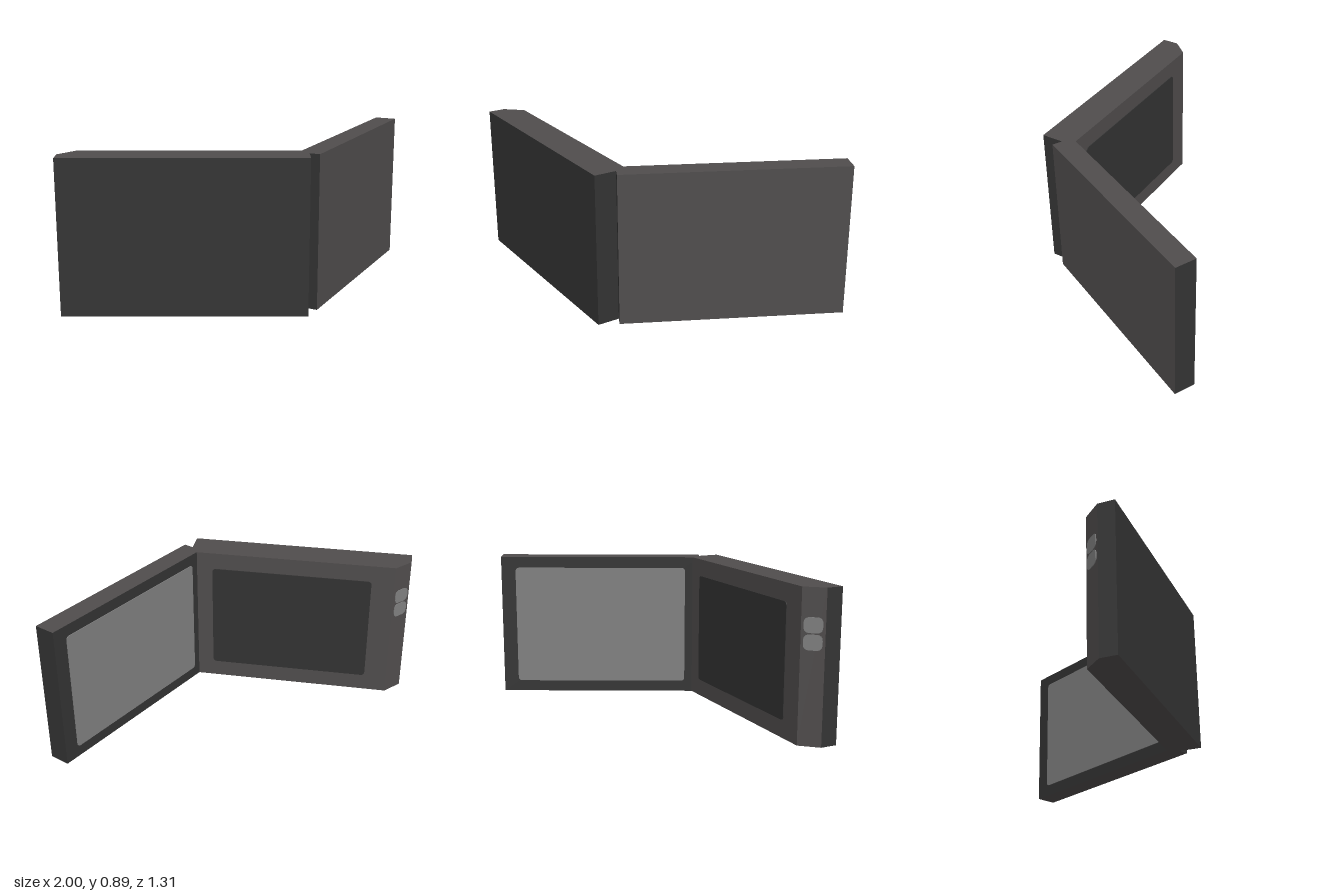
import * as THREE from 'three';

const H = 0.895; // height of both halves

function paint(name, color) {
  const m = new THREE.MeshStandardMaterial({ color });
  m.name = name;
  return m;
}

// Rounded thin plate, lying on the local z = 0 plane
function plate(name, w, h, r, material, x = 0, y = 0) {
  const s = new THREE.Shape();
  const a = w / 2, b = h / 2;
  s.moveTo(-a + r, -b);
  s.lineTo(a - r, -b);
  s.quadraticCurveTo(a, -b, a, -b + r);
  s.lineTo(a, b - r);
  s.quadraticCurveTo(a, b, a - r, b);
  s.lineTo(-a + r, b);
  s.quadraticCurveTo(-a, b, -a, b - r);
  s.lineTo(-a, -b + r);
  s.quadraticCurveTo(-a, -b, -a + r, -b);
  const geo = new THREE.ExtrudeGeometry(s, { depth: 0.004, bevelEnabled: false, curveSegments: 6 });
  const mesh = new THREE.Mesh(geo, material);
  mesh.name = name;
  mesh.position.set(x, y, 0);
  return mesh;
}

// Upright prism over an [x, z] outline; each wall is [name, material].
// Every wall is a group whose local +z points outward.
function prism(name, outline, walls, capMaterial) {
  const group = new THREE.Group();
  group.name = name;
  const sides = {};
  outline.forEach(([ax, az], i) => {
    const [bx, bz] = outline[(i + 1) % outline.length];
    const [wallName, material] = walls[i];
    const side = new THREE.Group();
    side.name = wallName;
    side.position.set((ax + bx) / 2, H / 2, (az + bz) / 2);
    side.rotation.y = Math.atan2(az - bz, bx - ax);
    const face = new THREE.Mesh(new THREE.PlaneGeometry(Math.hypot(bx - ax, bz - az), H), material);
    face.name = wallName + 'Face';
    side.add(face);
    group.add(side);
    sides[wallName] = side;
  });
  // Top and bottom caps
  for (const dir of [1, -1]) {
    const shape = new THREE.Shape(outline.map(([x, z]) => new THREE.Vector2(x, -dir * z)));
    const cap = new THREE.Mesh(new THREE.ShapeGeometry(shape).rotateX(-dir * Math.PI / 2), capMaterial);
    cap.name = dir > 0 ? 'topEdge' : 'bottomEdge';
    cap.position.y = dir > 0 ? H : 0;
    group.add(cap);
  }
  return { group, sides };
}

export function createModel() {
  const dark = paint('charcoal', 0x333333);
  const warm = paint('warm grey', 0x504d4d);
  const light = paint('light grey', 0x808080);

  const model = new THREE.Group();
  model.name = 'foldingDevice';

  // Base half with a bevelled end
  const base = prism('base',
    [[-1, 0.655], [0.37, 0.655], [0.37, 0.455], [-0.91, 0.455], [-1, 0.555]],
    [['baseBack', dark], ['baseHingeEnd', dark], ['baseInside', warm], ['baseBevel', warm], ['baseFarEnd', dark]],
    warm);
  base.sides.baseInside.add(plate('basePanel', 1.0, 0.683, 0.025, dark));
  for (const y of [0.687, 0.591]) {
    base.sides.baseBevel.add(plate('button', 0.106, 0.088, 0.035, light, 0, y - H / 2));
  }

  // Lid half, opened at an angle
  const lid = prism('lid',
    [[0.31, 0.493], [0.425, 0.55], [1, -0.6], [0.885, -0.655]],
    [['lidHingeEnd', dark], ['lidOutside', warm], ['lidFarEnd', dark], ['lidInside', dark]],
    warm);
  lid.sides.lidInside.add(plate('screen', 1.1, 0.755, 0.025, light));

  model.add(base.group, lid.group);
  return model;
}
